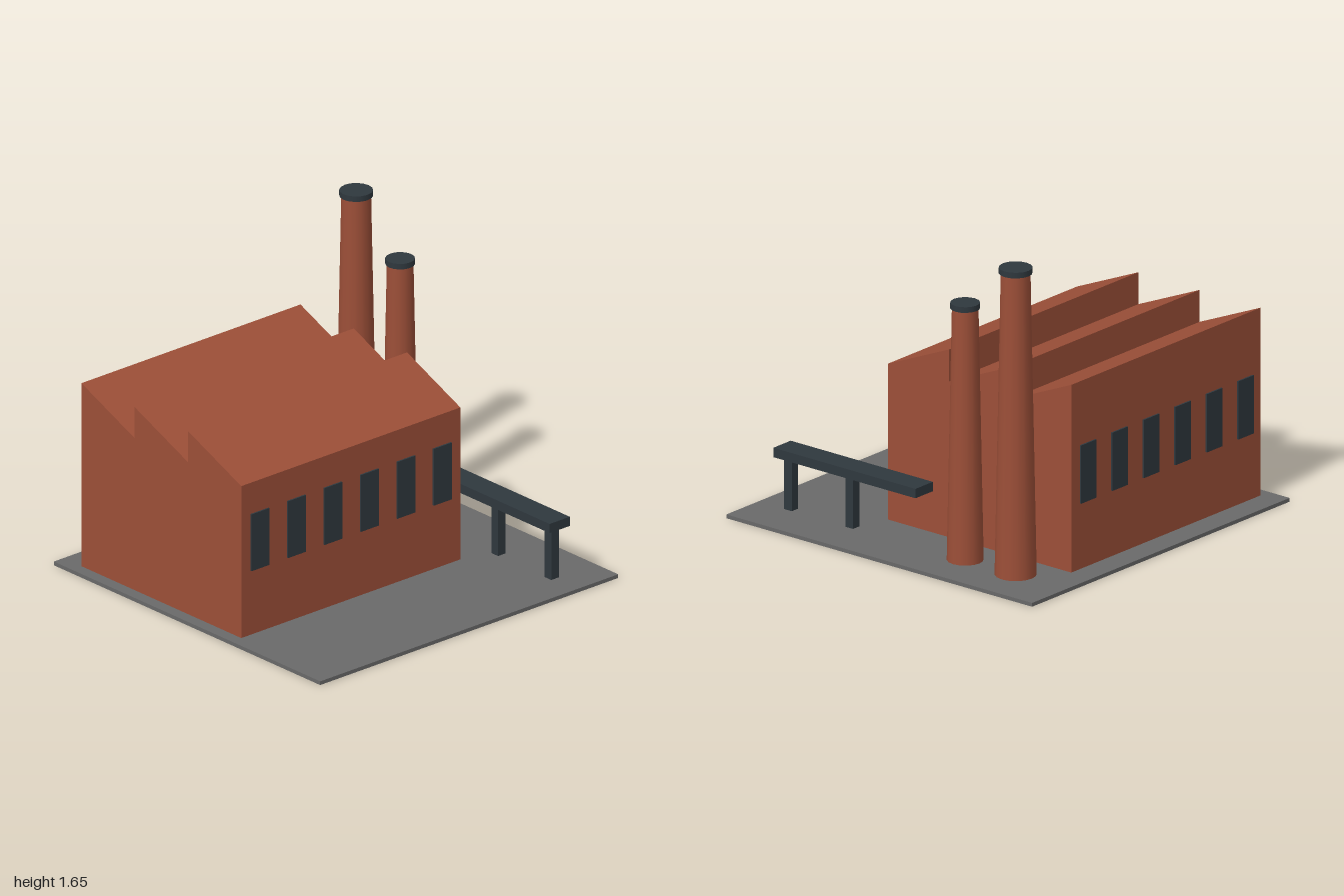
import * as THREE from 'three';

export function createModel() {
  const group = new THREE.Group();
  group.name = 'factory';

  const material = (name, color) => {
    const m = new THREE.MeshStandardMaterial({ color });
    m.name = name;
    return m;
  };
  const brick = material('brick', 0x9c4f38);
  const steel = material('dark steel', 0x2f383e);
  const concrete = material('concrete', 0x696969);

  const add = (name, geometry, mat, x, y, z) => {
    const mesh = new THREE.Mesh(geometry, mat);
    mesh.name = name;
    mesh.position.set(x, y, z);
    group.add(mesh);
    return mesh;
  };
  const box = (name, mat, w, h, d, x, y, z) =>
    add(name, new THREE.BoxGeometry(w, h, d), mat, x, y, z);

  // Ground slab
  box('groundSlab', concrete, 2, 0.02, 2, 0, 0.01, 0);

  // Hall with a sawtooth roof: side profile extruded along x
  const left = -0.935, width = 1.47, front = 0.335, bay = 0.4, bays = 3;
  const eaves = 0.85, ridge = 1.02, floor = 0.02;
  const back = front - bay * bays;
  const profile = new THREE.Shape();
  profile.moveTo(-front, floor);
  profile.lineTo(-back, floor);
  for (let i = bays - 1; i >= 0; i--) {
    profile.lineTo(-front + bay * (i + 1), ridge);
    profile.lineTo(-front + bay * i, eaves);
  }
  profile.closePath();
  const hall = new THREE.ExtrudeGeometry(profile, { depth: width, bevelEnabled: false });
  hall.rotateY(Math.PI / 2);
  add('factoryHall', hall, brick, left, 0, 0);

  // Rows of windows on the front and back walls
  for (let i = 0; i < 6; i++) {
    const x = -0.813 + i * 0.2445;
    box('frontWindow', steel, 0.12, 0.31, 0.009, x, 0.525, front + 0.0045);
    box('backWindow', steel, 0.12, 0.31, 0.009, x, 0.525, back - 0.0045);
  }

  // Tapered chimneys with steel caps
  const chimney = (name, z, bottom, top, height, capRadius) => {
    const h = height - floor;
    add(name, new THREE.CylinderGeometry(top, bottom, h, 16), brick, 0.73, floor + h / 2, z);
    add(name + 'Cap', new THREE.CylinderGeometry(capRadius, capRadius, 0.03, 16), steel,
      0.73, height + 0.015, z);
  };
  chimney('tallChimney', -0.665, 0.106, 0.075, 1.625, 0.085);
  chimney('shortChimney', -0.335, 0.093, 0.067, 1.36, 0.075);

  // Raised conveyor on two posts
  box('conveyorDeck', steel, 0.135, 0.05, 0.93, 0.728, 0.325, 0.4);
  for (const z of [0.805, 0.405]) {
    box('conveyorPost', steel, 0.05, 0.27, 0.05, 0.728, 0.155, z);
  }

  return group;
}
